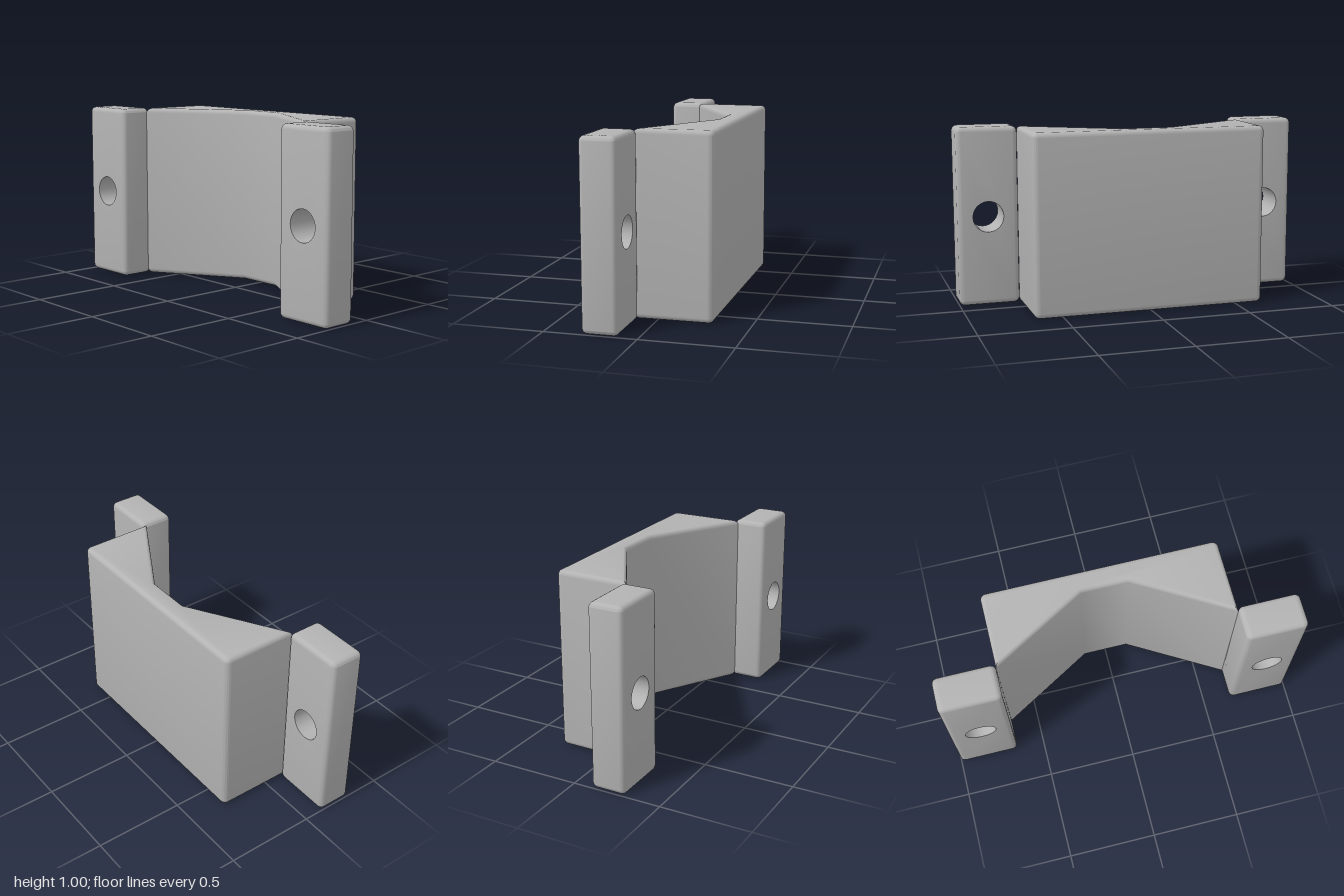
import * as THREE from 'three';
import { toCreasedNormals } from 'three/addons/utils/BufferGeometryUtils.js';

const HEIGHT = 1.005;
const HALF_BODY = 0.658;
const HOLE_RADIUS = 0.087;
const ROUND = 0.028;

// Extrusion with rounded rims, centred on its depth, that keeps the outline's full size
function roundedExtrude(shape, depth) {
  const geometry = new THREE.ExtrudeGeometry(shape, {
    depth: depth - 2 * ROUND, curveSegments: 12, bevelEnabled: true,
    bevelThickness: ROUND, bevelSize: ROUND, bevelOffset: -ROUND, bevelSegments: 5,
  });
  return geometry.translate(0, 0, ROUND - depth / 2);
}

// Mounting flange: rounded bar with a straight bolt hole
function flangeGeometry() {
  const w = (1 - HALF_BODY) / 2, h = HEIGHT / 2, r = ROUND + 0.004;
  const shape = new THREE.Shape();
  shape.absarc(w - r, h - r, r, 0, Math.PI / 2);
  shape.absarc(r - w, h - r, r, Math.PI / 2, Math.PI);
  shape.absarc(r - w, r - h, r, Math.PI, Math.PI * 1.5);
  shape.absarc(w - r, r - h, r, Math.PI * 1.5, Math.PI * 2);
  shape.closePath();
  shape.holes.push(new THREE.Path().absarc(0, 0, HOLE_RADIUS, 0, Math.PI * 2, true));
  const geometry = roundedExtrude(shape, 0.195);

  // Keep the bore cylindrical, with sharp rims
  const p = geometry.attributes.position;
  for (let i = 0; i < p.count; i++) {
    const d = Math.hypot(p.getX(i), p.getY(i));
    if (d < HOLE_RADIUS + 0.04) {
      p.setXY(i, p.getX(i) * HOLE_RADIUS / d, p.getY(i) * HOLE_RADIUS / d);
    }
  }
  return toCreasedNormals(geometry, 0.6);
}

// Saddle body: block with a trapezoid recess in the front
function bodyGeometry() {
  const w = HALF_BODY, r = ROUND + 0.004, back = 0.3;
  const shape = new THREE.Shape();
  shape.moveTo(-w, -0.125);
  shape.lineTo(-0.13, 0.182);
  shape.lineTo(0.13, 0.182);
  shape.lineTo(w, -0.125);
  shape.absarc(w - r, back - r, r, 0, Math.PI / 2);
  shape.absarc(r - w, back - r, r, Math.PI / 2, Math.PI);
  shape.closePath();
  return toCreasedNormals(roundedExtrude(shape, HEIGHT).rotateX(-Math.PI / 2), 0.6);
}

export function createModel() {
  const group = new THREE.Group();
  group.name = 'saddleBracket';
  const grey = new THREE.MeshStandardMaterial({ color: 0xb3b3b3 });
  grey.name = 'grey';

  const body = new THREE.Mesh(bodyGeometry(), grey);
  body.name = 'saddleBody';
  body.position.y = HEIGHT / 2;
  group.add(body);

  const flange = flangeGeometry();
  for (const [name, side] of [['leftFlange', 1], ['rightFlange', -1]]) {
    const mesh = new THREE.Mesh(flange, grey);
    mesh.name = name;
    mesh.position.set(side * (1 + HALF_BODY) / 2, HEIGHT / 2, 0.2);
    group.add(mesh);
  }
  return group;
}
